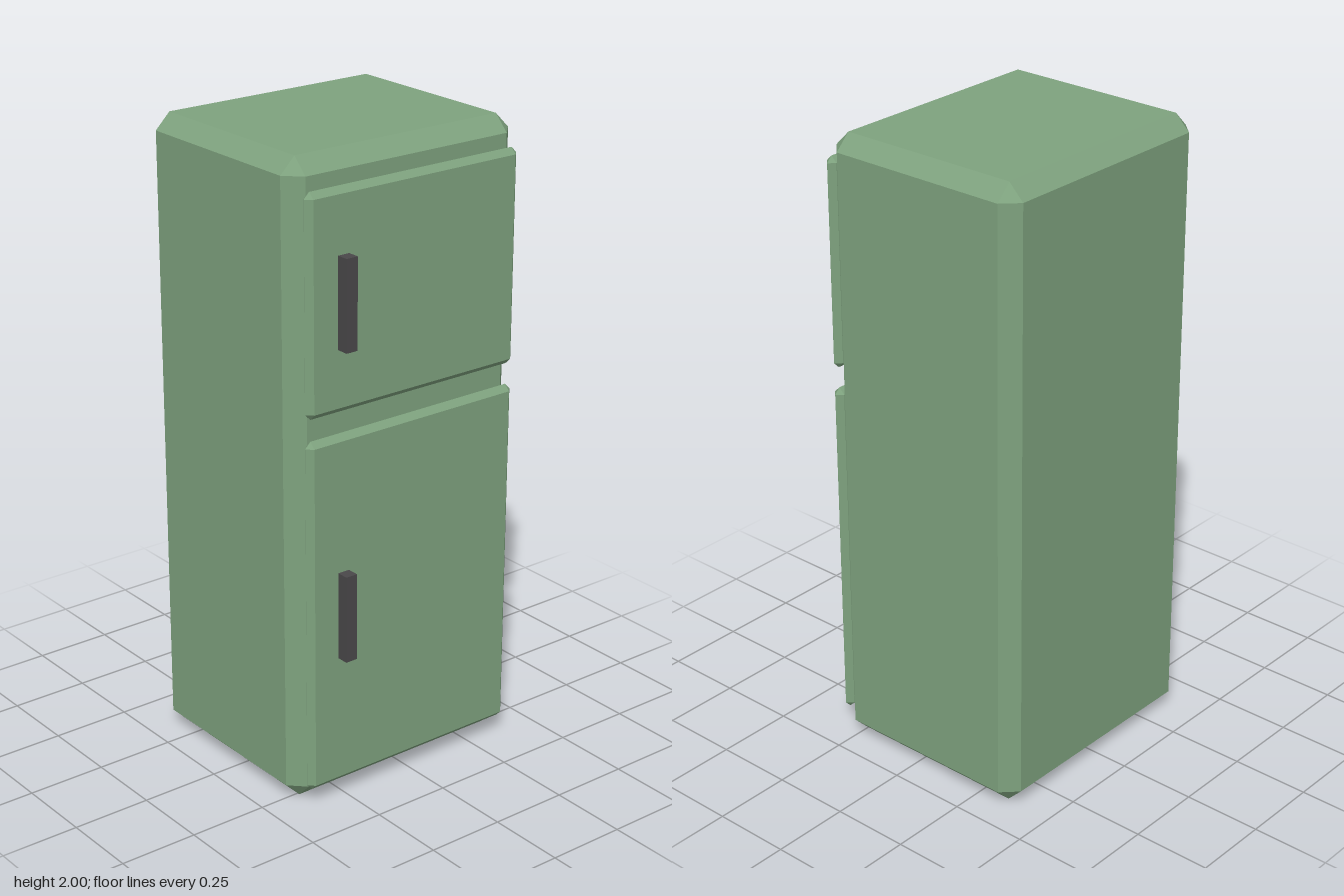
import * as THREE from 'three';
import { ConvexGeometry } from 'three/addons/geometries/ConvexGeometry.js';

// Box with 45-degree chamfered edges and triangular corners
function chamferedBox(w, h, d, c) {
  const points = [];
  for (const sx of [-1, 1]) for (const sy of [-1, 1]) for (const sz of [-1, 1]) {
    const x = w / 2, y = h / 2, z = d / 2;
    points.push(
      new THREE.Vector3(sx * x, sy * (y - c), sz * (z - c)),
      new THREE.Vector3(sx * (x - c), sy * y, sz * (z - c)),
      new THREE.Vector3(sx * (x - c), sy * (y - c), sz * z)
    );
  }
  return new ConvexGeometry(points);
}

export function createModel() {
  const group = new THREE.Group();
  group.name = 'refrigerator';

  const green = new THREE.MeshStandardMaterial({ color: 0x7ea27e });
  green.name = 'sage green enamel';
  const grey = new THREE.MeshStandardMaterial({ color: 0x4a484a });
  grey.name = 'dark grey handle';

  function add(name, geometry, material, x, y, z) {
    const mesh = new THREE.Mesh(geometry, material);
    mesh.name = name;
    mesh.position.set(x, y, z);
    group.add(mesh);
  }

  // Cabinet
  add('cabinet', chamferedBox(0.83, 2, 0.697, 0.049), green, 0, 1, -0.0415);

  // Doors, each with a bar handle on the model's right
  const doors = [
    { name: 'fridge', bottom: 0.052, top: 1.18, handleY: 0.615 },
    { name: 'freezer', bottom: 1.247, top: 1.913, handleY: 1.583 },
  ];
  for (const { name, bottom, top, handleY } of doors) {
    add(name + 'Door', chamferedBox(0.774, top - bottom, 0.038, 0.0185), green,
      0, (bottom + top) / 2, 0.326);
    add(name + 'Handle', new THREE.BoxGeometry(0.039, 0.277, 0.038), grey,
      -0.2675, handleY, 0.369);
  }

  return group;
}
